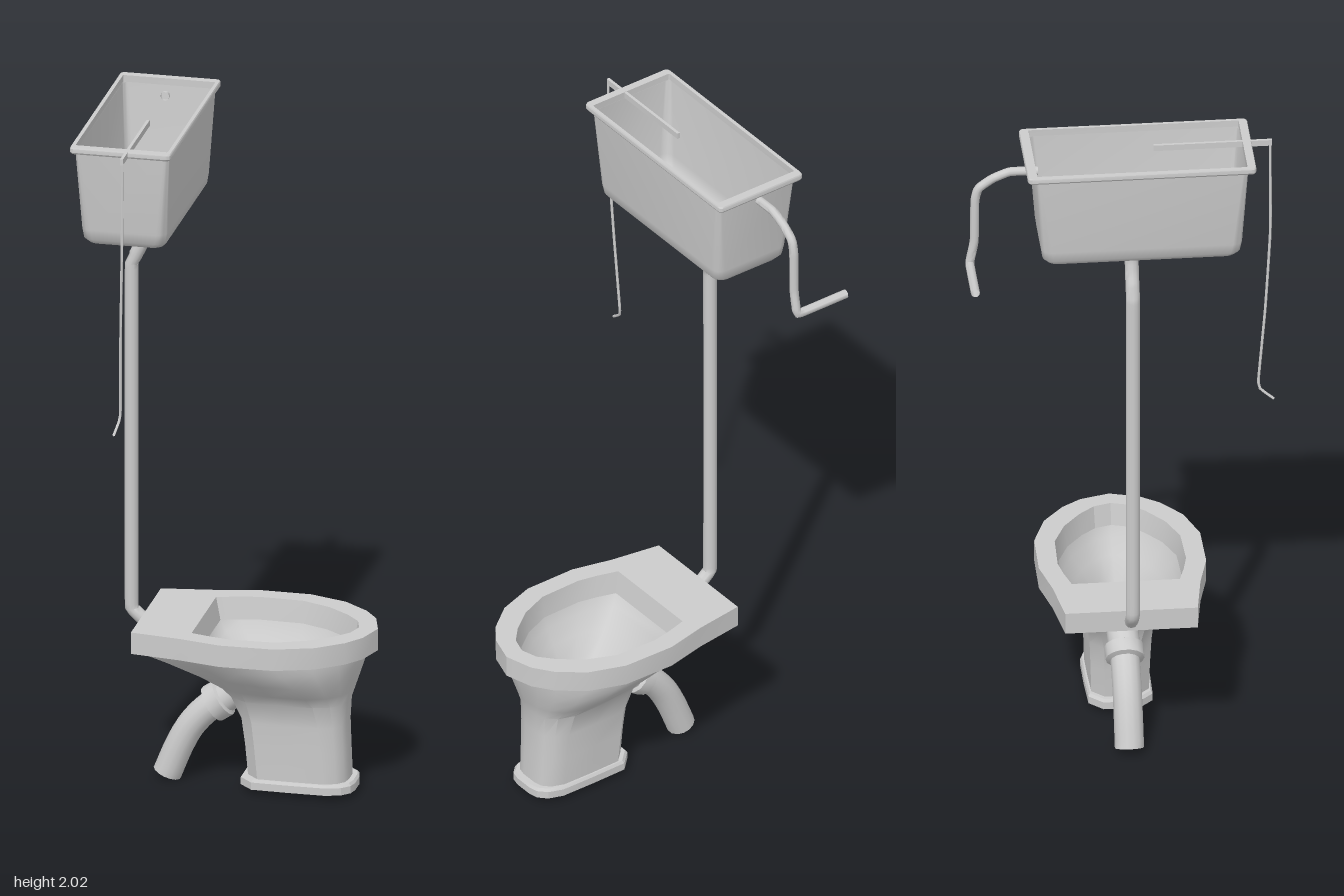
import * as THREE from 'three';
import { toCreasedNormals } from 'three/addons/utils/BufferGeometryUtils.js';

const grey = new THREE.MeshStandardMaterial({ color: 0xcccccc, side: THREE.DoubleSide });
const MID = 0.03; // z of the pan's plane of symmetry

function mesh(name, geometry) {
  const m = new THREE.Mesh(geometry, grey);
  m.name = name;
  return m;
}

// Skin over rings of points, each running counter-clockwise seen from above
function loft(rings, { capStart = false, capEnd = false, crease = 0.6 } = {}) {
  const n = rings[0].length, pos = rings.flat(2), index = [];
  for (let i = 0; i < rings.length - 1; i++) {
    for (let j = 0; j < n; j++) {
      const a = i * n + j, b = i * n + (j + 1) % n, c = b + n, d = a + n;
      index.push(a, b, c, a, c, d);
    }
  }
  const cap = (row, flip) => {
    const centre = [0, 1, 2].map(k => rings[row].reduce((s, p) => s + p[k], 0) / n);
    const c = pos.length / 3;
    pos.push(...centre);
    for (let j = 0; j < n; j++) {
      const a = row * n + j, b = row * n + (j + 1) % n;
      index.push(...(flip ? [c, b, a] : [c, a, b]));
    }
  };
  if (capStart) cap(0, true);
  if (capEnd) cap(rings.length - 1, false);
  const g = new THREE.BufferGeometry();
  g.setAttribute('position', new THREE.Float32BufferAttribute(pos, 3));
  g.setIndex(index);
  return toCreasedNormals(g, crease);
}

// Mirror a half outline [x, halfWidth], listed front to back, into a ring
function mirrored(half, y) {
  const far = half.map(([x, w]) => [x, y, MID - w]);
  const near = half.slice(1).reverse().map(([x, w]) => [x, y, MID + w]);
  return [...far, ...near];
}

// Rounded rectangle ring
function roundRect(y, x0, x1, z0, z1, r, steps = 4) {
  const corners = [[x1 - r, z0 + r], [x0 + r, z0 + r], [x0 + r, z1 - r], [x1 - r, z1 - r]];
  return corners.flatMap(([cx, cz], q) => Array.from({ length: steps + 1 }, (_, i) => {
    const a = (q + i / steps) * Math.PI / 2;
    return [cx + r * Math.cos(a), y, cz - r * Math.sin(a)];
  }));
}

function pipe(name, points, radius, segments, sides = 12, tension = 0.2) {
  const path = new THREE.CatmullRomCurve3(points.map(p => new THREE.Vector3(...p)), false, 'catmullrom', tension);
  return mesh(name, toCreasedNormals(new THREE.TubeGeometry(path, segments, radius, sides), 0.9));
}

function createPan() {
  const pan = new THREE.Group();
  pan.name = 'pan';

  // Flat rim with its opening
  const outer = [[0.43, 0], [0.405, 0.085], [0.365, 0.14], [0.29, 0.2], [0.18, 0.238], [0.02, 0.24], [-0.1, 0.212], [-0.25, 0.19]];
  const hole = [[0.375, 0], [0.36, 0.05], [0.32, 0.095], [0.255, 0.145], [0.17, 0.18], [0.04, 0.184], [-0.02, 0.172], [-0.08, 0.155]];
  const shrink = (s, cx) => hole.map(([x, w]) => [cx + (x - cx) * s, w * s]);
  const lip = shrink(0.94, 0.165);
  pan.add(mesh('rim', loft([
    mirrored(lip, 0.42), mirrored(outer, 0.42), mirrored(outer, 0.485),
    mirrored(hole, 0.485), mirrored(lip, 0.42),
  ], { crease: 0.4 })));

  // Inside of the bowl
  const inside = [[0.42, 0.94, 0.165], [0.39, 0.86, 0.17], [0.35, 0.68, 0.18], [0.3, 0.45, 0.19], [0.25, 0.28, 0.2], [0.22, 0.12, 0.2]];
  pan.add(mesh('bowlInside', loft(
    inside.map(([y, s, cx]) => mirrored(shrink(s, cx), y)), { capEnd: true, crease: 1.2 })));

  // Outside: the bowl outline blends into the pedestal outline
  const bowl = [[1, 0], [0.965, 0.35], [0.91, 0.58], [0.8, 0.83], [0.63, 1], [0.4, 1], [0.2, 0.87], [0, 0.78]];
  const foot = [[1, 0], [1, 0.3], [0.98, 0.6], [0.91, 0.85], [0.78, 1], [0.45, 1], [0.12, 0.97], [0, 0.55]];
  const section = (y, back, front, halfWidth, t) => mirrored(bowl.map(([u, w], i) => [
    back + (front - back) * THREE.MathUtils.lerp(u, foot[i][0], t),
    halfWidth * THREE.MathUtils.lerp(w, foot[i][1], t),
  ]), y);
  pan.add(mesh('pedestal', loft([
    section(0.03, 0.06, 0.35, 0.085, 1),
    section(0.12, 0.052, 0.346, 0.088, 1),
    section(0.2, 0.042, 0.344, 0.092, 0.95),
    section(0.265, 0.015, 0.35, 0.1, 0.7),
    section(0.3, -0.005, 0.362, 0.133, 0.4),
    section(0.345, -0.06, 0.377, 0.178, 0.15),
    section(0.39, -0.15, 0.392, 0.207, 0),
    section(0.42, -0.235, 0.4, 0.218, 0),
  ], { crease: 0.7 })));
  pan.add(mesh('base', loft([
    section(0, 0.04, 0.37, 0.095, 1), section(0.022, 0.04, 0.37, 0.095, 1),
    section(0.03, 0.046, 0.364, 0.09, 1),
  ], { capStart: true, capEnd: true, crease: 0.4 })));

  // Waste outlet and its collar
  pan.add(pipe('wastePipe', [[0.04, 0.27, MID], [-0.05, 0.22, MID], [-0.11, 0.16, MID], [-0.15, 0.09, MID], [-0.187, 0, MID]], 0.042, 16, 14, 0.5));
  const collar = mesh('wasteCollar', toCreasedNormals(new THREE.LatheGeometry(
    [[0.04, -0.035], [0.056, -0.03], [0.056, 0.01], [0.046, 0.015], [0.046, 0.06]].map(p => new THREE.Vector2(...p)), 14), 0.6));
  collar.position.set(-0.03, 0.235, MID);
  collar.rotation.z = -0.98;
  pan.add(collar);
  return pan;
}

function createCistern() {
  const cistern = new THREE.Group();
  cistern.name = 'cistern';

  // Tapered tank, as an outer wall and an inner wall
  const wall = d => [
    roundRect(1.69 + d, -0.335 + d, -0.155 - d, -0.2 + d, 0.3 - d, 0.025),
    roundRect(1.695 + d, -0.355 + d, -0.137 - d, -0.222 + d, 0.32 - d, 0.03),
    roundRect(1.71 + d, -0.367 + d, -0.125 - d, -0.234 + d, 0.333 - d, 0.03),
    roundRect(1.74 + d, -0.371 + d, -0.121 - d, -0.238 + d, 0.338 - d, 0.028),
    roundRect(1.98, -0.385 + d, -0.109 - d, -0.256 + d, 0.353 - d, 0.015),
  ];
  cistern.add(mesh('tankOutside', loft(wall(0), { capStart: true, crease: 0.8 })));
  cistern.add(mesh('tankInside', loft(wall(0.004).reverse(), { capEnd: true, crease: 0.8 })));

  // Flange around the top
  const opening = y => roundRect(y, -0.382, -0.112, -0.253, 0.35, 0.004);
  const flange = (y, d = 0) => roundRect(y, -0.395 + d, -0.1 - d, -0.28 + d, 0.375 - d, 0.012);
  cistern.add(mesh('tankRim', loft([
    opening(1.98), flange(1.98, 0.003), flange(1.985), flange(1.996), flange(2, 0.002), opening(2), opening(1.98),
  ], { crease: 0.5 })));

  // Flush lever and pull chain
  const lever = mesh('flushLever', new THREE.BoxGeometry(0.009, 0.018, 0.34));
  lever.position.set(-0.228, 1.99, 0.265);
  cistern.add(lever);
  cistern.add(pipe('pullChain', [
    [-0.225, 1.985, 0.43], [-0.228, 1.7, 0.43], [-0.235, 1.45, 0.415], [-0.24, 1.22, 0.395],
    [-0.243, 1.19, 0.4], [-0.25, 1.16, 0.438],
  ], 0.004, 50, 6));
  return cistern;
}

export function createModel() {
  const model = new THREE.Group();
  model.name = 'highCisternToilet';
  model.add(createPan(), createCistern());

  // Flush pipe from the tank down to the back of the pan
  model.add(pipe('flushPipe', [
    [-0.252, 1.7, MID], [-0.252, 1.64, MID], [-0.262, 1.6, MID], [-0.286, 1.55, MID], [-0.292, 1.51, MID],
    [-0.292, 0.52, MID], [-0.285, 0.485, MID], [-0.24, 0.445, MID],
  ], 0.02, 90, 12, 0.15));

  // Overflow pipe: out of the tank, down, then sideways
  model.add(pipe('overflowPipe', [
    [-0.257, 1.95, -0.24], [-0.257, 1.95, -0.32], [-0.257, 1.93, -0.37], [-0.257, 1.9, -0.41], [-0.257, 1.86, -0.42],
    [-0.257, 1.73, -0.422], [-0.257, 1.67, -0.433], [-0.265, 1.655, -0.435], [-0.43, 1.655, -0.435],
  ], 0.013, 60, 10));
  return model;
}
